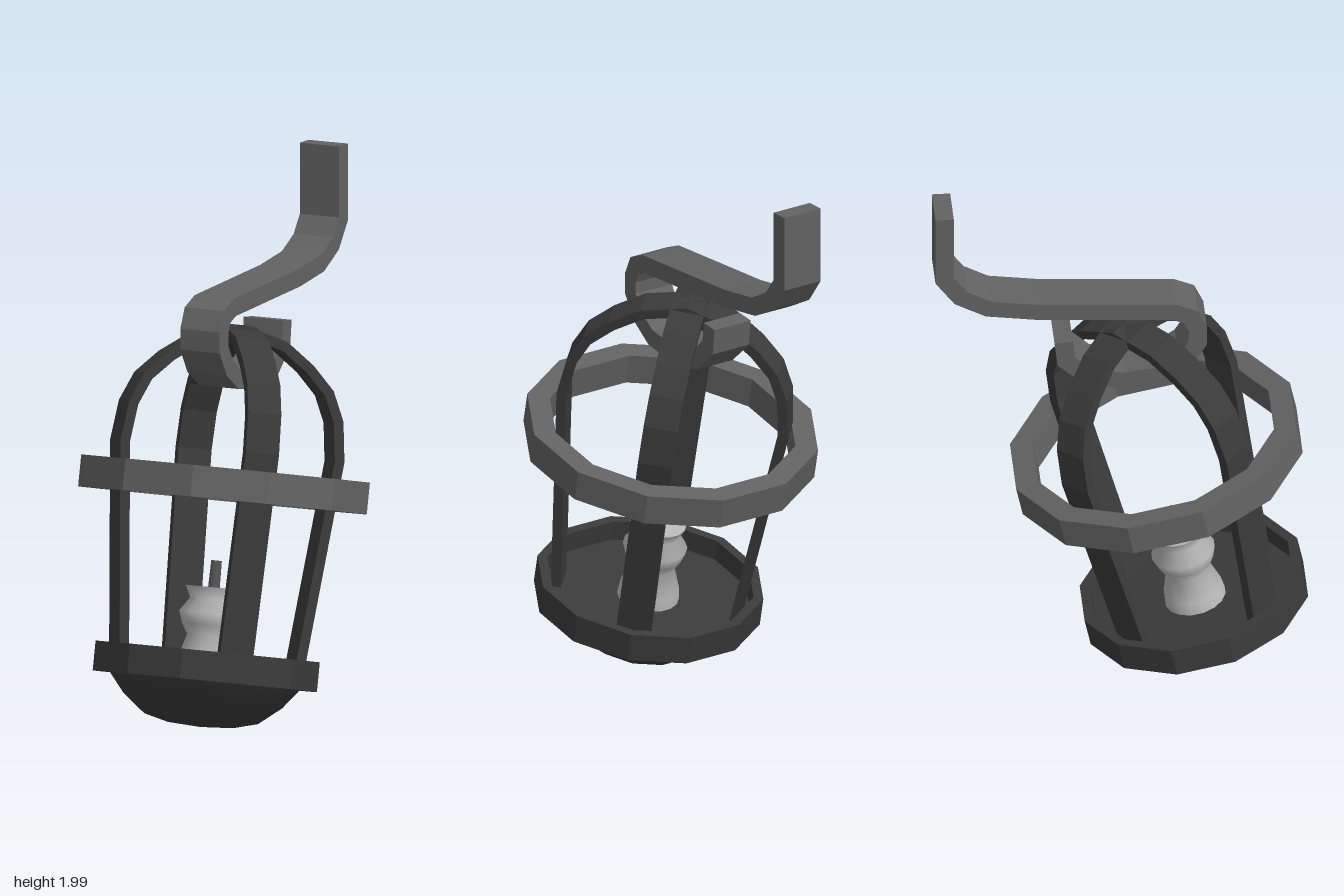
import * as THREE from 'three';
import { toCreasedNormals } from 'three/addons/utils/BufferGeometryUtils.js';

const vec = (pts) => pts.map(([x, y]) => new THREE.Vector2(x, y));

// Twelve-sided turned part with an edge facing front; crease angle decides what stays sharp
function turned(profile, crease, sides = 12) {
  const geo = new THREE.LatheGeometry(vec(profile), sides, Math.PI / sides);
  return toCreasedNormals(geo, crease);
}

// Flat bar of given thickness and width following a bent centre line
function bentBar(points, thickness, width) {
  const p = vec(points);
  const left = [], right = [];
  p.forEach((c, i) => {
    const a = c.clone().sub(p[Math.max(i - 1, 0)]).normalize();
    const b = p[Math.min(i + 1, p.length - 1)].clone().sub(c).normalize();
    const dir = a.clone().add(b).normalize();
    const n = new THREE.Vector2(-dir.y, dir.x);
    const miter = thickness / 2 / Math.max(dir.dot(i ? a : b), 0.5);
    left.push(c.clone().addScaledVector(n, miter));
    right.unshift(c.clone().addScaledVector(n, -miter));
  });
  const geo = new THREE.ExtrudeGeometry(new THREE.Shape([...left, ...right]), { depth: width, bevelEnabled: false });
  return geo.translate(0, 0, -width / 2);
}

export function createModel() {
  const paint = (name, color) => Object.assign(new THREE.MeshStandardMaterial({ color }), { name });
  const darkIron = paint('dark iron', 0x3a3a3a);
  const greyIron = paint('grey iron', 0x626262);
  const wax = paint('wax', 0xb8b8b8);
  const wickGrey = paint('wick grey', 0x555555);

  const model = new THREE.Group();
  model.name = 'hangingLantern';
  const add = (parent, name, geo, mat) => {
    const mesh = new THREE.Mesh(geo, mat);
    mesh.name = name;
    parent.add(mesh);
    return mesh;
  };

  // Lantern body swings back on its hook
  const lantern = new THREE.Group();
  lantern.name = 'lantern';
  lantern.position.set(0, 0.185, 0.287);
  lantern.rotation.x = -0.208;
  model.add(lantern);

  // Base: rounded bowl, raised rim and sunken floor
  add(lantern, 'bowl', turned([[0, -0.165], [0.12, -0.158], [0.21, -0.135], [0.293, -0.07], [0.35, 0]], 1), darkIron);
  add(lantern, 'rim', turned([[0.33, 0], [0.414, 0], [0.414, 0.107], [0.378, 0.107], [0.378, 0.03], [0, 0.03]], 0.1), darkIron);

  // Cage: two crossing arches
  const side = [[0.325, 0.01], [0.405, 0.83], [0.387, 0.97], [0.342, 1.07], [0.262, 1.15], [0.16, 1.222]];
  const arch = [...side, [0, 1.266], ...side.map(([x, y]) => [-x, y]).reverse()];
  for (const turn of [1, -1]) {
    const bar = add(lantern, turn > 0 ? 'cageArchA' : 'cageArchB', bentBar(arch, 0.036, 0.125), darkIron);
    bar.rotation.y = turn * Math.PI / 4;
  }

  // Hoop around the cage
  add(lantern, 'hoop', turned([[0.533, 0.652], [0.533, 0.766], [0.45, 0.766], [0.45, 0.652], [0.533, 0.652]], 0.1), greyIron);

  // Candle and wick
  add(lantern, 'candle', turned([[0.112, 0.03], [0.107, 0.075], [0.08, 0.162], [0.102, 0.2], [0.117, 0.245],
    [0.082, 0.295], [0.102, 0.338], [0, 0.338]], 1.1, 16), wax);
  const wick = add(lantern, 'wick', new THREE.CylinderGeometry(0.02, 0.022, 0.1, 8), wickGrey);
  wick.position.y = 0.385;

  // Hook strap, drawn in (z, y): wall end, long arm, curl under the arches
  const hookPath = [[-0.628, 2], [-0.628, 1.73], [-0.57, 1.65], [-0.47, 1.595], [-0.295, 1.57], [0.2, 1.54],
    [0.258, 1.515], [0.283, 1.46], [0.283, 1.4], [0.238, 1.325], [0.16, 1.27], [0.02, 1.25],
    [-0.11, 1.27], [-0.19, 1.345], [-0.2, 1.43]];
  const hook = add(model, 'hook', bentBar(hookPath, 0.066, 0.16).rotateY(-Math.PI / 2), greyIron);
  hook.position.x = -0.004;

  return model;
}
